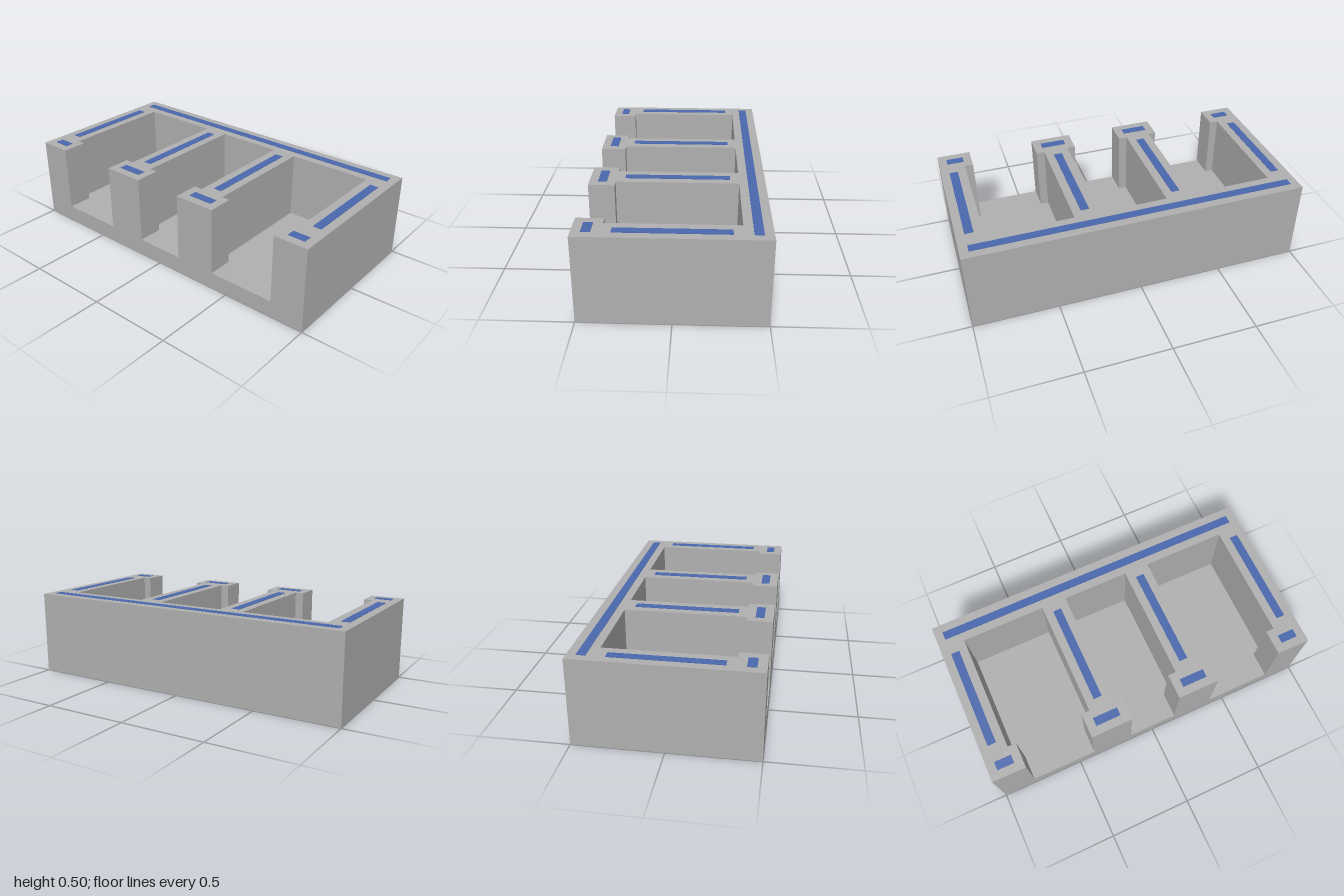
import * as THREE from 'three';

const HEIGHT = 0.5, FLOOR = 0.1, STRIP = 0.002;

export function createModel() {
  const model = new THREE.Group();
  model.name = 'threeBayBlock';
  const grey = new THREE.MeshStandardMaterial({ color: 0xb0b0b0 });
  grey.name = 'grey';
  const blue = new THREE.MeshStandardMaterial({ color: 0x4a68ad });
  blue.name = 'blue';

  // Box from its extents
  const box = (name, material, x0, x1, y0, y1, z0, z1) => {
    const mesh = new THREE.Mesh(new THREE.BoxGeometry(x1 - x0, y1 - y0, z1 - z0), material);
    mesh.position.set((x0 + x1) / 2, (y0 + y1) / 2, (z0 + z1) / 2);
    mesh.name = name;
    model.add(mesh);
  };

  // Floor slab
  box('floor', grey, -1, 1, 0, FLOOR, -0.5, 0.5);

  // Wall plan, shape y = -z: three bays with narrower front openings
  const plan = new THREE.Shape();
  plan.moveTo(-1, 0.5);
  plan.lineTo(-1, -0.5);
  const bays = [[-0.85, -0.35], [-0.2, 0.2], [0.35, 0.85]];
  for (const [left, right] of bays) {
    const doorLeft = left + 0.05, doorRight = right - 0.05;
    plan.lineTo(doorLeft, -0.5);
    plan.lineTo(doorLeft, -0.35);
    plan.lineTo(left, -0.35);
    plan.lineTo(left, 0.35);
    plan.lineTo(right, 0.35);
    plan.lineTo(right, -0.35);
    plan.lineTo(doorRight, -0.35);
    plan.lineTo(doorRight, -0.5);
  }
  plan.lineTo(1, -0.5);
  plan.lineTo(1, 0.5);
  plan.closePath();
  const wallGeometry = new THREE.ExtrudeGeometry(plan, { depth: HEIGHT - FLOOR, bevelEnabled: false });
  wallGeometry.rotateX(-Math.PI / 2);
  const walls = new THREE.Mesh(wallGeometry, grey);
  walls.name = 'walls';
  walls.position.y = FLOOR;
  model.add(walls);

  // Thin strips along the wall tops
  const strip = (name, x0, x1, z0, z1) =>
    box(name, blue, x0, x1, HEIGHT, HEIGHT + STRIP, z0, z1);
  strip('backStrip', -0.95, 0.95, -0.45, -0.4);
  for (const x of [-0.95, -0.3, 0.25, 0.9]) strip('wallStrip', x, x + 0.05, -0.3, 0.3);
  for (const [x0, x1] of [[-0.95, -0.85], [-0.35, -0.2], [0.2, 0.35], [0.85, 0.95]]) {
    strip('frontStrip', x0, x1, 0.4, 0.45);
  }
  return model;
}
